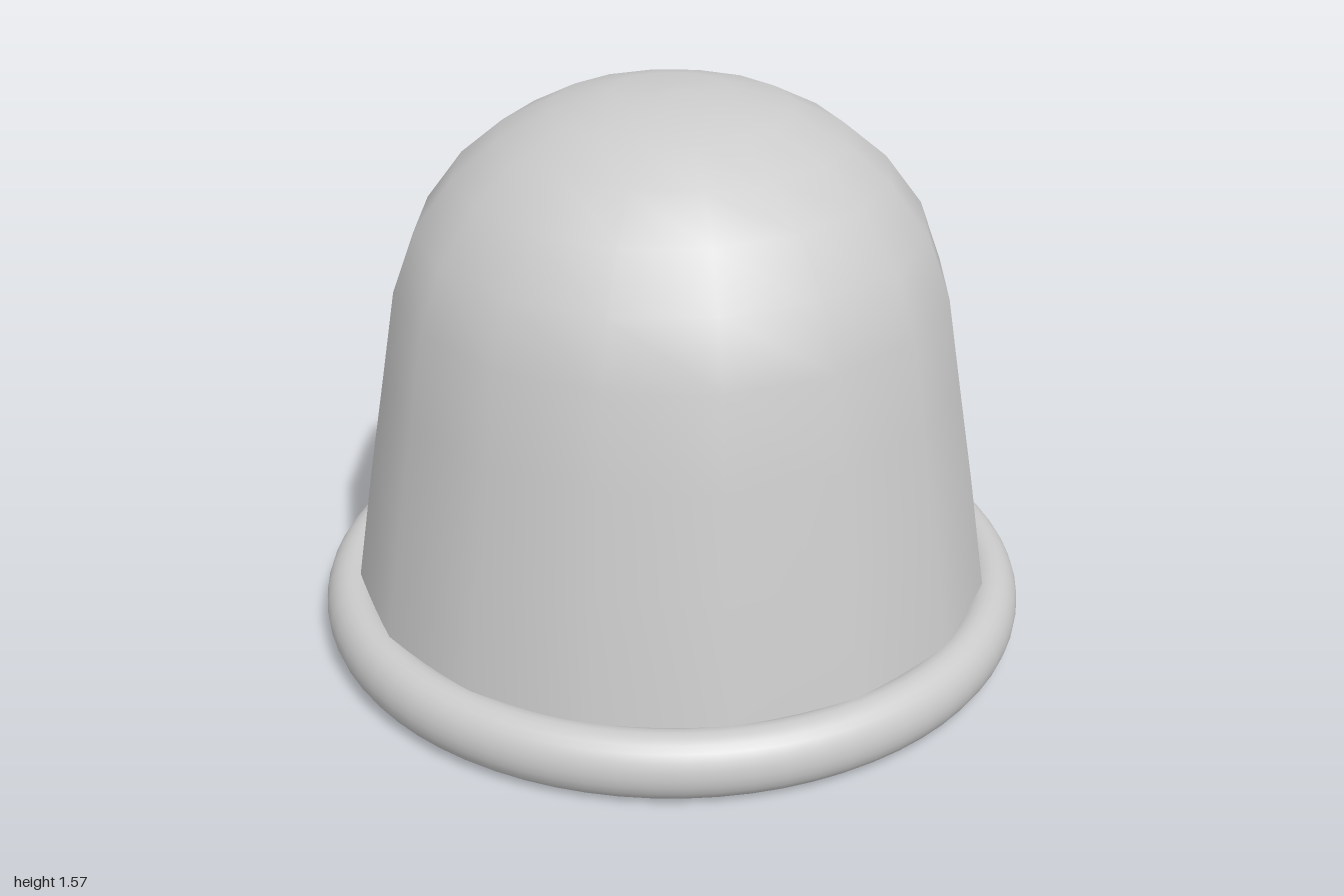
import * as THREE from 'three';

export function createModel() {
  const group = new THREE.Group();
  const material = new THREE.MeshStandardMaterial({ color: 0xcccccc, side: THREE.DoubleSide });

  // Hollow tapered bell with a rounded crown, open at the bottom
  const profile = [
    [0.91, 0.09], [0.9, 0.18], [0.85, 0.5], [0.8, 0.79], [0.758, 1.04],
    [0.695, 1.21], [0.59, 1.35], [0.47, 1.45], [0.325, 1.525], [0.165, 1.564], [0, 1.568],
  ].map(([r, y]) => new THREE.Vector2(r, y));
  const dome = new THREE.Mesh(new THREE.LatheGeometry(profile, 16), material);
  dome.name = 'domeShell';
  group.add(dome);

  // Rolled rim: a torus stretched a little in height
  const tube = 0.077, halfHeight = 0.092;
  const rimGeometry = new THREE.TorusGeometry(1 - tube, tube, 24, 72)
    .rotateX(Math.PI / 2)
    .scale(1, halfHeight / tube, 1)
    .translate(0, halfHeight, 0);
  const rim = new THREE.Mesh(rimGeometry, material);
  rim.name = 'rolledRim';
  group.add(rim);

  return group;
}
